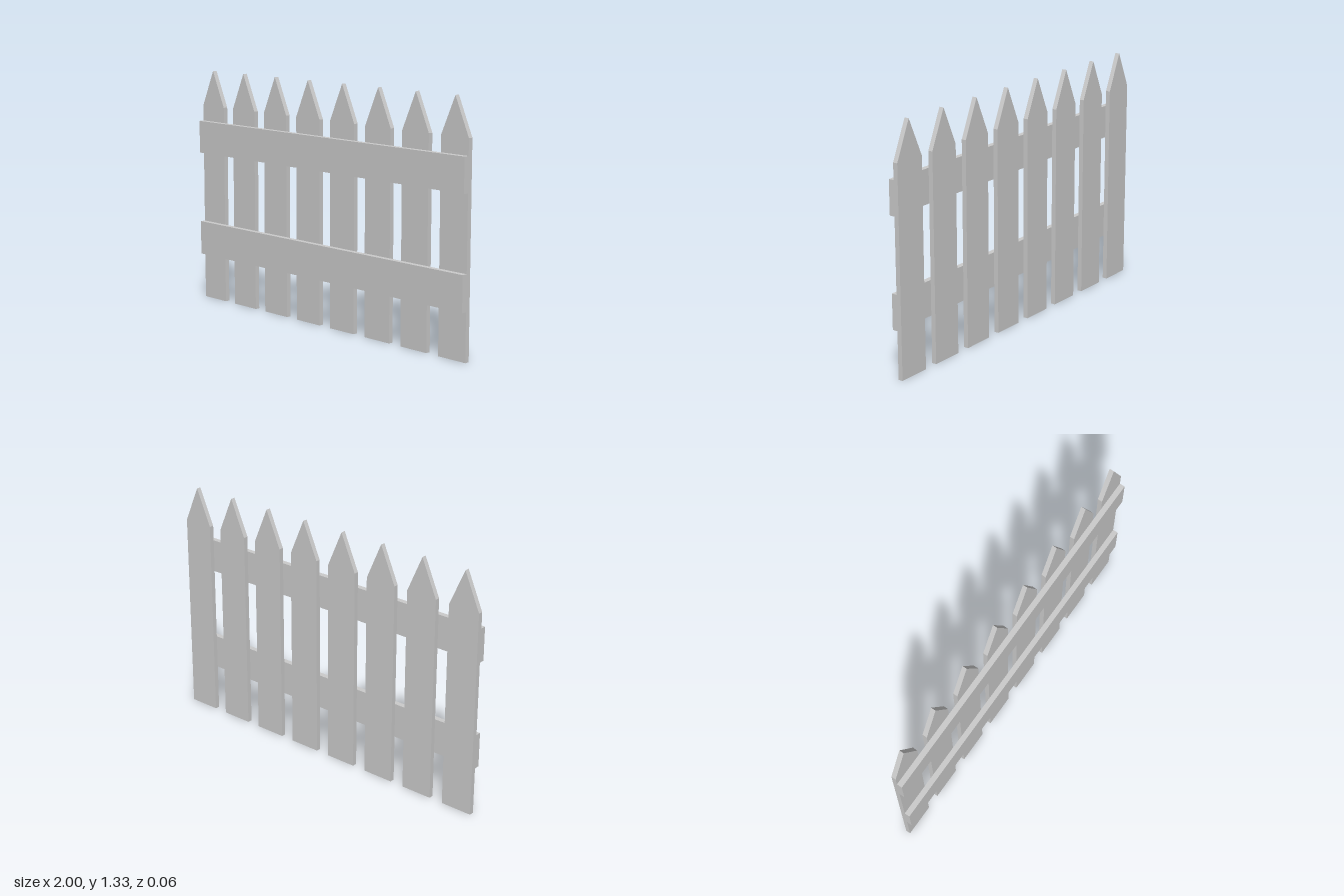
import * as THREE from 'three';

const material = new THREE.MeshStandardMaterial({ color: 0xcccccc, flatShading: true });

const COUNT = 8;
const WIDTH = 0.18; // picket width
const SHOULDER = 1.125; // where the point begins
const TIP = 1.328;
const BACK = -0.028, JOINT = -0.002, FRONT = 0.028; // z of back, contact plane, front

// Flat board with a pointed top
function picketGeometry() {
  const h = WIDTH / 2;
  const outline = new THREE.Shape([
    new THREE.Vector2(-h, 0),
    new THREE.Vector2(h, 0),
    new THREE.Vector2(h, SHOULDER),
    new THREE.Vector2(0, TIP),
    new THREE.Vector2(-h, SHOULDER),
  ]);
  return new THREE.ExtrudeGeometry(outline, { depth: JOINT - BACK, bevelEnabled: false });
}

// Horizontal board between two heights
function makeRail(name, y0, y1) {
  const rail = new THREE.Mesh(new THREE.BoxGeometry(2, y1 - y0, FRONT - JOINT), material);
  rail.name = name;
  rail.position.set(0, (y0 + y1) / 2, (FRONT + JOINT) / 2);
  return rail;
}

export function createModel() {
  const fence = new THREE.Group();
  fence.name = 'picketFence';

  // Evenly spaced pickets, the outer ones flush with the rail ends
  const geometry = picketGeometry();
  const pitch = (2 - WIDTH) / (COUNT - 1);
  for (let i = 0; i < COUNT; i++) {
    const picket = new THREE.Mesh(geometry, material);
    picket.name = `picket${i + 1}`;
    picket.position.set(-1 + WIDTH / 2 + i * pitch, 0, BACK);
    fence.add(picket);
  }

  // Two rails across the front
  fence.add(makeRail('lowerRail', 0.26, 0.452), makeRail('upperRail', 0.854, 1.038));
  return fence;
}
